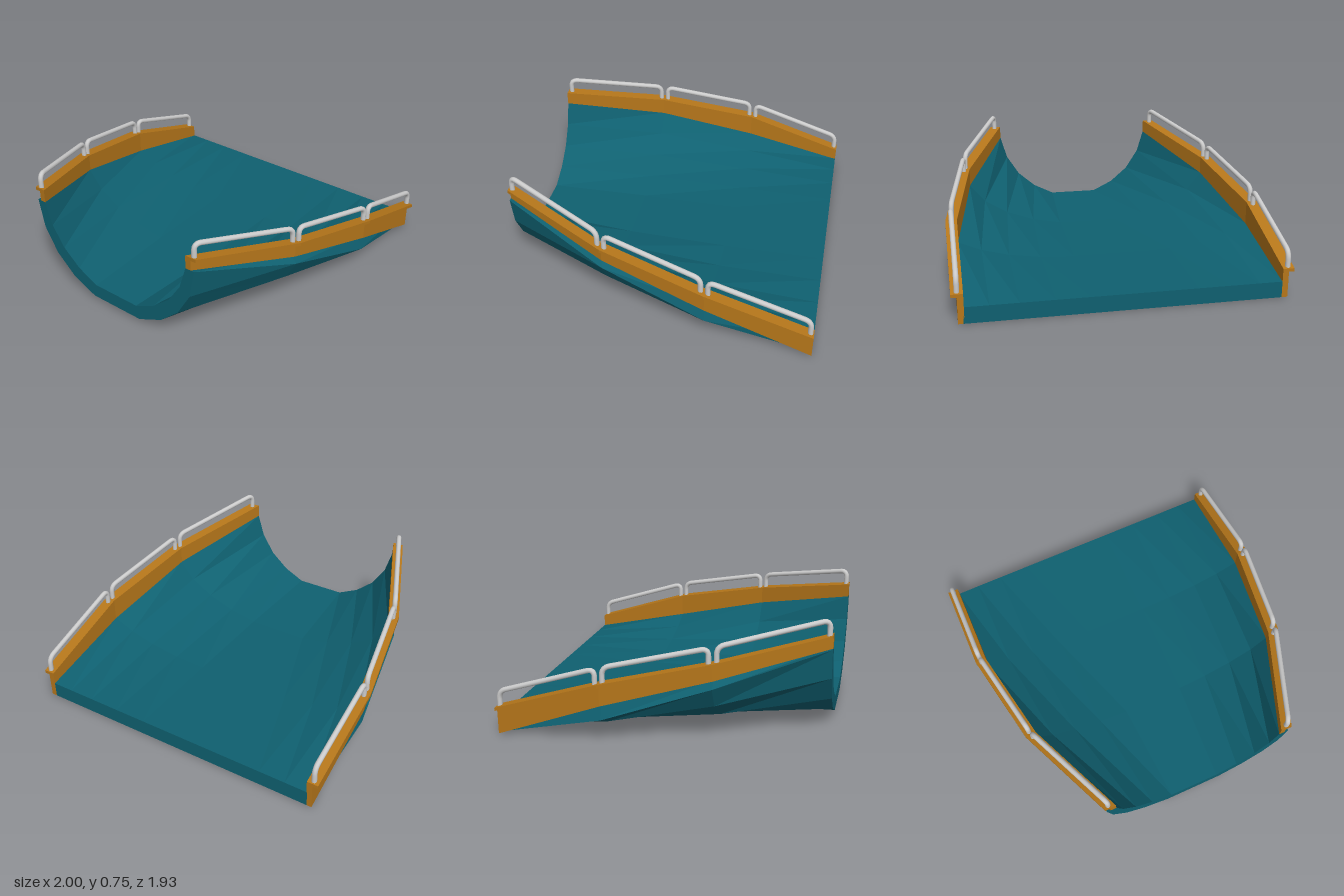
import * as THREE from 'three';

const teal = new THREE.MeshStandardMaterial({ color: 0x0f6070, flatShading: true });
const ochre = new THREE.MeshStandardMaterial({ color: 0xb5761a, flatShading: true });
const metal = new THREE.MeshStandardMaterial({ color: 0xcccccc });

// The four stations along the slide, from the front lip to the back edge
const Z = [0.965, 0.32, -0.32, -0.965];

// Half profiles at each station, from the centre outwards: [x, y]
const inner = [
  [[0.163, 0.118], [0.302, 0.187], [0.42, 0.289], [0.505, 0.422], [0.55, 0.572]],
  [[0.2, 0.1], [0.39, 0.135], [0.57, 0.2], [0.72, 0.29], [0.82, 0.41]],
  [[0.21, 0.095], [0.42, 0.105], [0.62, 0.135], [0.79, 0.18], [0.93, 0.24]],
  [[0.21, 0.1], [0.42, 0.1], [0.62, 0.1], [0.79, 0.1], [0.935, 0.1]],
];
const outer = [
  [[0.185, 0.027], [0.355, 0.107], [0.484, 0.225], [0.575, 0.385], [0.61, 0.572]],
  [[0.21, 0.015], [0.42, 0.045], [0.62, 0.115], [0.79, 0.235], [0.865, 0.365]],
  [[0.22, 0], [0.44, 0.01], [0.65, 0.035], [0.82, 0.085], [0.96, 0.15]],
  [[0.21, 0], [0.42, 0], [0.62, 0], [0.79, 0], [0.935, 0]],
];

// Side rail: inner edge, top and bottom height at each station
const railX = [0.55, 0.815, 0.93, 0.93];
const railTop = [0.657, 0.522, 0.385, 0.18];
const railBottom = [0.572, 0.41, 0.24, 0];
const CAP = 0.02, WALL_W = 0.036, CAP_W = 0.07;

// Closed solid through counterclockwise rings, one ring per station
function loft(rings) {
  const pos = [], n = rings[0].length;
  const at = (k, i) => [...rings[k][(i + n) % n], Z[k]];
  const quad = (a, b, c, d) => pos.push(...a, ...b, ...c, ...a, ...c, ...d);
  for (let k = 0; k < rings.length - 1; k++)
    for (let i = 0; i < n; i++)
      quad(at(k, i), at(k + 1, i), at(k + 1, i + 1), at(k, i + 1));
  const last = rings.length - 1;
  for (let i = 0; i < n / 2 - 1; i++) {
    quad(at(0, i), at(0, i + 1), at(0, n - 2 - i), at(0, n - 1 - i));
    quad(at(last, n - 1 - i), at(last, n - 2 - i), at(last, i + 1), at(last, i));
  }
  const g = new THREE.BufferGeometry();
  g.setAttribute('position', new THREE.Float32BufferAttribute(pos, 3));
  g.computeVertexNormals();
  return g;
}

const mirrored = pts => pts.map(([x, y]) => [-x, y]).reverse();

function part(name, geometry, material) {
  const m = new THREE.Mesh(geometry, material);
  m.name = name;
  return m;
}

// Rectangular beam following the rail line on one side
function beam(side, width, bottom, top) {
  return loft(Z.map((_, k) => {
    const x0 = railX[k], x1 = x0 + width;
    const ring = [[x0, bottom(k)], [x1, bottom(k)], [x1, top(k)], [x0, top(k)]];
    return side > 0 ? ring : mirrored(ring);
  }));
}

// Bent tube with two upright legs, standing on rail section k
function handle(side, k) {
  const on = (z, lift) => {
    const t = (Z[k] - z) / (Z[k] - Z[k + 1]);
    return new THREE.Vector3(
      side * (THREE.MathUtils.lerp(railX[k], railX[k + 1], t) + CAP_W / 2),
      THREE.MathUtils.lerp(railTop[k], railTop[k + 1], t) + lift, z);
  };
  const z0 = Z[k] - 0.022, z1 = Z[k + 1] + 0.022;
  const corners = [on(z0, -0.01), on(z0, 0.09), on(z1, 0.09), on(z1, -0.01)];
  const toward = (a, b) => a.clone().add(b.clone().sub(a).setLength(0.045));
  const path = new THREE.CurvePath();
  let start = corners[0];
  for (const i of [1, 2]) {
    const p = toward(corners[i], corners[i - 1]), q = toward(corners[i], corners[i + 1]);
    path.add(new THREE.LineCurve3(start, p));
    path.add(new THREE.QuadraticBezierCurve3(p, corners[i], q));
    start = q;
  }
  path.add(new THREE.LineCurve3(start, corners[3]));
  return new THREE.TubeGeometry(path, 56, 0.016, 10, false);
}

export function createModel() {
  const model = new THREE.Group();
  model.name = 'slideSection';

  // Trough that opens from a curved chute into a flat edge
  const rings = Z.map((_, k) => [
    ...mirrored(outer[k]), ...outer[k],
    ...[...inner[k]].reverse(), ...inner[k].map(([x, y]) => [-x, y]),
  ]);
  model.add(part('trough', loft(rings), teal));

  for (const [side, label] of [[1, 'left'], [-1, 'right']]) {
    const rail = new THREE.Group();
    rail.name = label + 'SideRail';
    // Upright wall with an overhanging cap
    rail.add(part('railWall', beam(side, WALL_W, k => railBottom[k], k => railTop[k] - CAP), ochre));
    rail.add(part('railCap', beam(side, CAP_W, k => railTop[k] - CAP, k => railTop[k]), ochre));
    // Three handles, one per rail section
    for (let k = 0; k < 3; k++) rail.add(part('handle' + (k + 1), handle(side, k), metal));
    model.add(rail);
  }
  return model;
}
